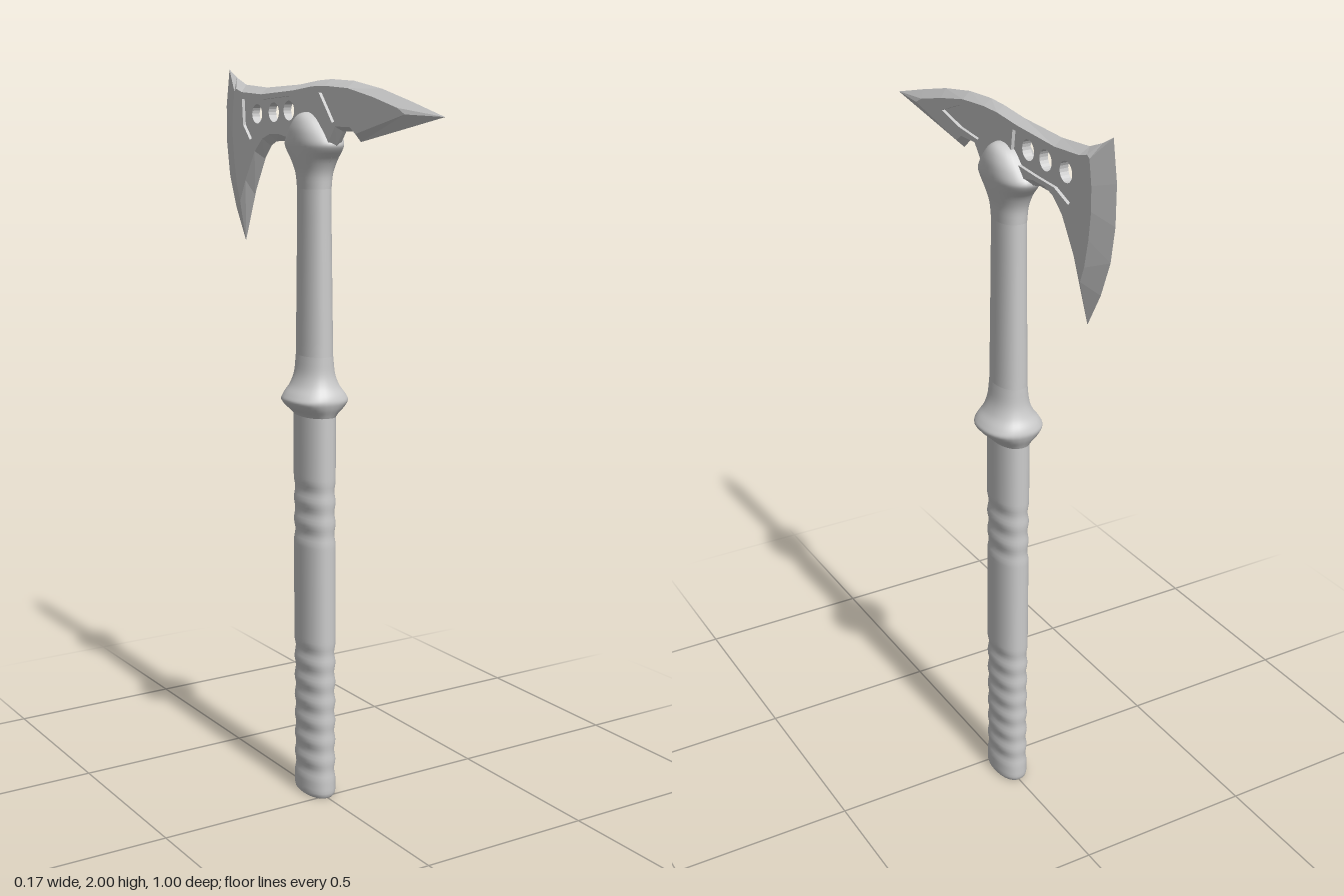
import * as THREE from 'three';

const V = (p) => new THREE.Vector2(p[0], p[1]);

// Smooth loft of rounded-oval rings; each ring is [y, half width x, half depth z]
function loft(rings, sides = 32) {
  const pos = [], idx = [];
  for (const [y, rx, rz] of rings) {
    for (let i = 0; i < sides; i++) {
      const a = (i / sides) * Math.PI * 2, c = Math.cos(a), s = Math.sin(a);
      const round = (v) => Math.sign(v) * Math.pow(Math.abs(v), 0.9);
      pos.push(rx * round(c), y, rz * round(s));
    }
  }
  for (let r = 0; r < rings.length - 1; r++) {
    for (let i = 0; i < sides; i++) {
      const j = (i + 1) % sides, a = r * sides + i, b = r * sides + j;
      idx.push(a, a + sides, b, b, a + sides, b + sides);
    }
  }
  const geo = new THREE.BufferGeometry();
  geo.setAttribute('position', new THREE.Float32BufferAttribute(pos, 3));
  geo.setIndex(idx);
  geo.computeVertexNormals();
  return geo;
}

// Rounds a coarse ring profile with a spline
function smooth(rings, n) {
  const curve = new THREE.CatmullRomCurve3(rings.map((r) => new THREE.Vector3(...r)), false, 'centripetal');
  return curve.getPoints(n).map((p) => [p.x, Math.max(p.y, 0.0005), Math.max(p.z, 0.0005)]);
}

// Grip with two bands of finger ridges and a flat butt
function gripGeometry() {
  const rings = [[0, 0.0005, 0.0005], [0, 0.038, 0.069], [0, 0.038, 0.069], [0.006, 0.043, 0.074]];
  const bands = [[0.05, 0.45, 7], [0.73, 0.91, 3]];
  for (let y = 0.015; y < 1.09; y += 0.01) {
    let dip = 0;
    for (const [lo, hi, count] of bands) {
      if (y > lo && y < hi) dip = 0.5 - 0.5 * Math.cos(((y - lo) / (hi - lo)) * count * Math.PI * 2);
    }
    rings.push([y, 0.045 - 0.005 * dip, 0.076 - 0.002 * dip]);
  }
  rings.push([1.1, 0.045, 0.076]);
  return loft(rings);
}

// Head outline: [u, v, inset u, inset v]; the outer edge is sharp, the inset edge is full thickness
const OUTLINE = [
  [-0.5, 1.88, -0.37, 1.885], [-0.16, 1.815, -0.165, 1.835], [-0.13, 1.84, -0.14, 1.852],
  [-0.08, 1.84, -0.075, 1.852], [-0.05, 1.80, -0.035, 1.80], [-0.02, 1.76, -0.01, 1.77],
  [0.12, 1.76, 0.11, 1.77], [0.15, 1.80, 0.145, 1.82], [0.19, 1.81, 0.19, 1.828],
  [0.235, 1.808, 0.24, 1.827], [0.265, 1.795, 0.275, 1.815], [0.295, 1.76, 0.315, 1.78],
  [0.35, 1.66, 0.365, 1.70], [0.4, 1.53, 0.395, 1.64], [0.45, 1.62, 0.41, 1.68],
  [0.484, 1.71, 0.424, 1.75], [0.498, 1.80, 0.432, 1.82], [0.498, 1.90, 0.43, 1.88],
  [0.48, 2.0, 0.42, 1.94], [0.44, 1.978, 0.41, 1.947], [0.39, 1.958, 0.38, 1.938],
  [0.28, 1.95, 0.28, 1.932], [0.12, 1.957, 0.12, 1.942], [0.03, 1.967, 0.03, 1.952],
  [-0.03, 1.97, -0.03, 1.953], [-0.13, 1.965, -0.13, 1.947], [-0.25, 1.945, -0.24, 1.925],
  [-0.37, 1.915, -0.34, 1.90],
];
const BLADE_PANEL = [
  [0.09, 1.85], [0.2, 1.84], [0.28, 1.835], [0.34, 1.81], [0.375, 1.85],
  [0.38, 1.92], [0.28, 1.918], [0.14, 1.928], [0.1, 1.928],
];
const SPIKE_PANEL = [
  [-0.235, 1.895], [-0.15, 1.872], [-0.06, 1.862], [-0.03, 1.9], [0.0, 1.937], [-0.06, 1.938], [-0.15, 1.928],
];
const HOLES = [[0.155, 1.89], [0.23, 1.885], [0.315, 1.88]];

function headGeometry() {
  const pos = [], thick = 0.021, floor = 0.012;
  const outer = OUTLINE.map((p) => V(p)), inset = OUTLINE.map((p) => V([p[2], p[3]]));
  const blade = BLADE_PANEL.map(V), spike = SPIKE_PANEL.map(V);
  const circles = HOLES.map(([u, v]) => Array.from({ length: 20 }, (_, i) => {
    const a = (i / 20) * Math.PI * 2;
    return V([u + 0.026 * Math.cos(a), v + 0.026 * Math.sin(a)]);
  }));
  for (const side of [1, -1]) {
    const tri = (...pts) => {
      if (side < 0) pts.reverse();
      for (const [p, w] of pts) pos.push(p.x, p.y, w * side);
    };
    // Strip between two matching loops
    const wall = (a, wa, b, wb) => a.forEach((p, i) => {
      const j = (i + 1) % a.length;
      tri([p, wa], [a[j], wa], [b[i], wb]);
      tri([a[j], wa], [b[j], wb], [b[i], wb]);
    });
    // Flat face with openings
    const face = (loop, openings, w) => {
      const all = [loop, ...openings].flat();
      for (const [a, b, c] of THREE.ShapeUtils.triangulateShape(loop.slice(), openings.map((o) => o.slice()))) {
        const t = [all[a], all[b], all[c]];
        if (THREE.ShapeUtils.area(t) < 0) t.reverse();
        tri(...t.map((p) => [p, w]));
      }
    };
    wall(outer, 0, inset, thick);
    face(inset, [blade, spike], thick);
    wall(blade, thick, blade, floor);
    wall(spike, thick, spike, floor);
    face(blade, circles, floor);
    face(spike, [], floor);
    circles.forEach((c) => wall(c, floor, c, 0));
  }
  const geo = new THREE.BufferGeometry();
  geo.setAttribute('position', new THREE.Float32BufferAttribute(pos, 3));
  geo.computeVertexNormals();
  return geo;
}

export function createModel() {
  const model = new THREE.Group();
  const mat = new THREE.MeshStandardMaterial({ color: 0xcccccc });
  const add = (parent, name, geo) => {
    const mesh = new THREE.Mesh(geo, mat);
    mesh.name = name;
    parent.add(mesh);
    return mesh;
  };

  // Handle, set slightly behind the centre
  const handle = new THREE.Group();
  handle.name = 'handle';
  handle.position.z = -0.055;
  model.add(handle);
  add(handle, 'grip', gripGeometry());
  add(handle, 'guard', loft(smooth([
    [1.085, 0.044, 0.075], [1.095, 0.052, 0.08], [1.115, 0.075, 0.09], [1.13, 0.085, 0.094],
    [1.145, 0.078, 0.09], [1.17, 0.06, 0.076], [1.2, 0.048, 0.067], [1.25, 0.041, 0.064],
  ], 32)));
  add(handle, 'shaft', loft(smooth([
    [1.24, 0.041, 0.064], [1.4, 0.039, 0.062], [1.6, 0.037, 0.059], [1.7, 0.037, 0.058],
  ], 10)));
  add(handle, 'socket', loft(smooth([
    [1.69, 0.037, 0.058], [1.73, 0.041, 0.062], [1.765, 0.05, 0.078], [1.79, 0.056, 0.1],
    [1.805, 0.059, 0.107], [1.825, 0.06, 0.094], [1.85, 0.058, 0.07], [1.873, 0.05, 0.045],
    [1.885, 0.036, 0.022], [1.888, 0.001, 0.001],
  ], 36)));

  // Axe head with spike, turned a touch off the handle axis
  const head = add(model, 'axeHead', headGeometry());
  head.rotation.y = Math.PI / 2 + 0.033;
  return model;
}
